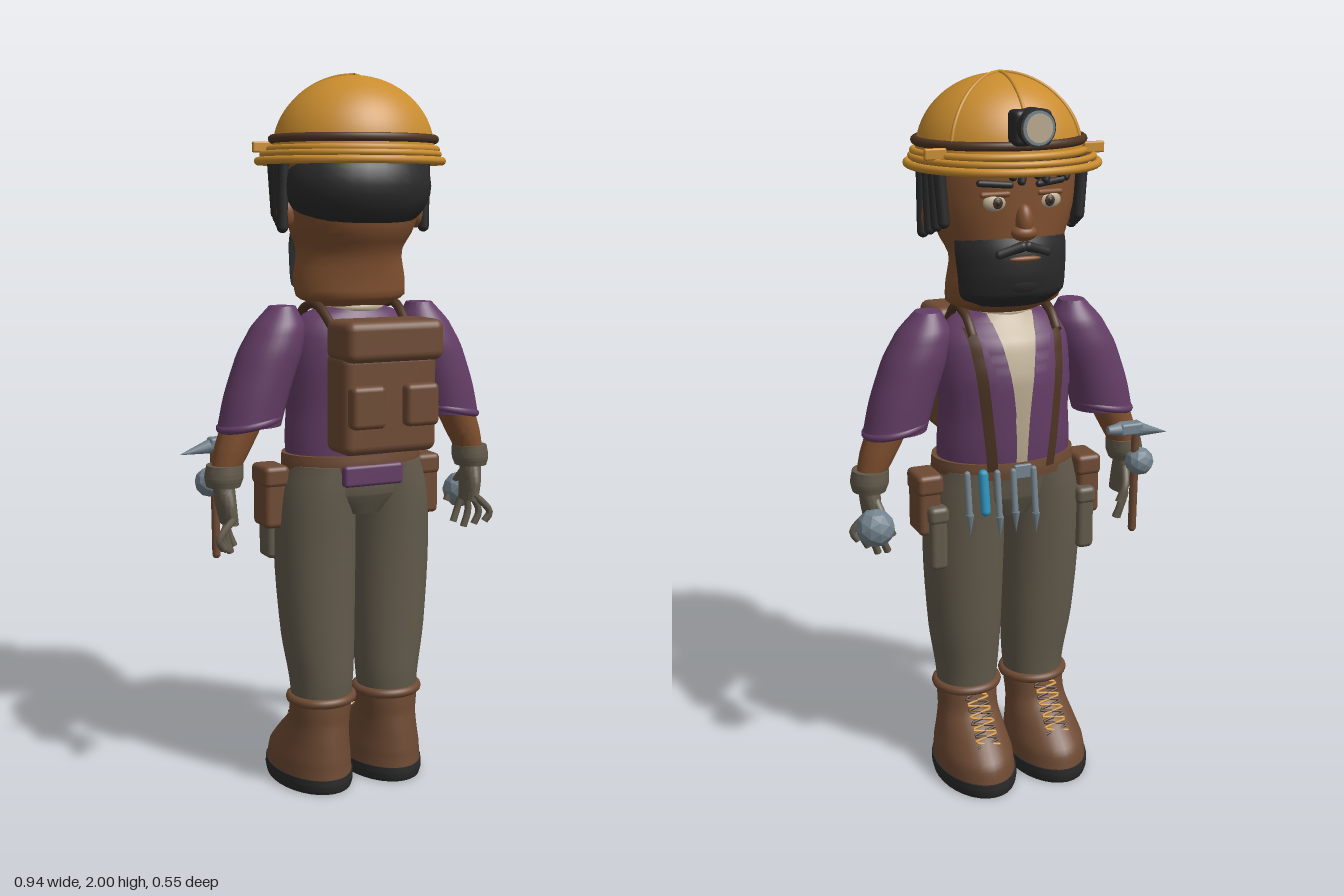
import * as THREE from 'three';
import { toCreasedNormals } from 'three/addons/utils/BufferGeometryUtils.js';
import { RoundedBoxGeometry } from 'three/addons/geometries/RoundedBoxGeometry.js';

const V = (x, y, z) => new THREE.Vector3(x, y, z);
const mat = (name, color) => {
  const m = new THREE.MeshStandardMaterial({ color, side: THREE.DoubleSide });
  m.name = name;
  return m;
};

// Smooth rows [x, y, z, rx, rz] through the given sections, listed upwards
function rowsOf(sections, steps) {
  const centre = new THREE.CatmullRomCurve3(sections.map(s => V(s[0], s[1], s[2])));
  const radius = new THREE.CatmullRomCurve3(sections.map(s => V(s[3], s[4], 0)));
  return Array.from({ length: steps + 1 }, (_, i) => {
    const c = centre.getPoint(i / steps), r = radius.getPoint(i / steps);
    return [c.x, c.y, c.z, r.x, r.y];
  });
}

// Stack of horizontal ellipses; a partial angle range gives an open shell
function loft(sections, a0 = 0, a1 = Math.PI * 2, steps = 20, n = 32) {
  const rows = rowsOf(sections, steps), pos = [], idx = [];
  rows.forEach(([x, y, z, rx, rz]) => {
    for (let j = 0; j <= n; j++) {
      const a = a0 + (a1 - a0) * j / n;
      pos.push(x + rx * Math.cos(a), y, z + rz * Math.sin(a));
    }
  });
  const w = n + 1;
  for (let i = 0; i < steps; i++) for (let j = 0; j < n; j++) {
    const p = i * w + j;
    idx.push(p, p + w, p + 1, p + 1, p + w, p + w + 1);
  }
  if (a1 - a0 > 6.28) {
    const c = pos.length / 3, top = steps * w;
    pos.push(...rows[0].slice(0, 3), ...rows[steps].slice(0, 3));
    for (let j = 0; j < n; j++) idx.push(c, j, j + 1, c + 1, top + j + 1, top + j);
  }
  const g = new THREE.BufferGeometry();
  g.setAttribute('position', new THREE.Float32BufferAttribute(pos, 3));
  g.setIndex(idx);
  return toCreasedNormals(g, 0.8);
}

export function createModel() {
  const M = {
    skin: mat('skin', 0x80502f), gold: mat('helmetGold', 0xc98c2e), black: mat('black', 0x2a2a2a),
    purple: mat('shirtPurple', 0x643d66), brown: mat('leather', 0x6e4a33), olive: mat('canvas', 0x625a4b),
    cream: mat('cream', 0xb9aa90), steel: mat('steel', 0x74838e), blue: mat('toolBlue', 0x2b93bd),
    dark: mat('darkStrap', 0x4d3423),
  };
  const root = new THREE.Group(), body = new THREE.Group();
  root.name = 'explorer';
  body.name = 'figure';
  body.position.x = 0.02;
  root.add(body);

  const add = (name, geo, m, x = 0, y = 0, z = 0) => {
    const o = new THREE.Mesh(geo, M[m]);
    o.name = name;
    o.position.set(x, y, z);
    body.add(o);
    return o;
  };
  const rbox = (name, m, w, h, d, x, y, z, r = 0.015) => add(name, new RoundedBoxGeometry(w, h, d, 3, r), m, x, y, z);
  const ball = (name, m, rx, ry, rz, x, y, z) => {
    const o = add(name, new THREE.SphereGeometry(1, 28, 18), m, x, y, z);
    o.scale.set(rx, ry, rz);
    return o;
  };
  const tube = (name, m, r, pts, seg = 24) => add(name, new THREE.TubeGeometry(new THREE.CatmullRomCurve3(pts), seg, r, 8), m);
  const rod = (name, m, r, a, b) => {
    const o = add(name, new THREE.CapsuleGeometry(r, a.distanceTo(b), 4, 10), m);
    o.position.copy(a).add(b).multiplyScalar(0.5);
    o.quaternion.setFromUnitVectors(V(0, 1, 0), b.clone().sub(a).normalize());
    return o;
  };
  const hoop = (name, m, rx, rz, t, x, y, z) => {
    const o = add(name, new THREE.TorusGeometry(1, t / rx, 10, 56), m, x, y, z);
    o.rotation.x = Math.PI / 2;
    o.scale.set(rx, rz, rx);
    return o;
  };

  // Shirt body
  const torso = [[0, 0.93, -0.01, 0.19, 0.132], [0, 1.0, -0.015, 0.193, 0.135], [0, 1.1, -0.018, 0.187, 0.136],
    [0, 1.2, -0.018, 0.19, 0.135], [0, 1.3, -0.01, 0.185, 0.115], [0, 1.35, 0, 0.15, 0.085], [0, 1.375, 0, 0.085, 0.07]];
  add('shirt', loft(torso), 'purple');
  rbox('shirtTail', 'purple', 0.18, 0.06, 0.03, 0, 0.915, 0.128, 0.01);

  // Thin cloth panels that follow the chest
  const torsoRows = rowsOf(torso, 80);
  const chestZ = (x, y) => {
    const r = torsoRows.reduce((a, b) => Math.abs(b[1] - y) < Math.abs(a[1] - y) ? b : a);
    return r[2] - r[4] * Math.sqrt(Math.max(0, 1 - (x / r[3]) ** 2));
  };
  const panel = (name, m, y0, y1, edges, lift) => {
    const g = new THREE.PlaneGeometry(1, 1, 6, 24), p = g.attributes.position;
    for (let i = 0; i < p.count; i++) {
      const t = p.getY(i) + 0.5, [x0, x1] = edges(t);
      const x = x1 + (x0 - x1) * (p.getX(i) + 0.5), y = y0 + (y1 - y0) * t;
      p.setXYZ(i, x, y, chestZ(x, y) - lift);
    }
    g.computeVertexNormals();
    add(name, g, m);
  };
  const open = t => 0.016 + 0.05 * t ** 2;
  panel('undershirt', 'cream', 0.97, 1.37, t => [-open(t), open(t)], 0.005);
  hoop('undershirtCollar', 'cream', 0.078, 0.07, 0.012, 0, 1.37, 0);

  // Head and neck
  add('neck', loft([[0, 1.3, 0.005, 0.075, 0.07], [0, 1.36, 0.005, 0.07, 0.067], [0, 1.44, 0, 0.08, 0.075]]), 'skin');
  add('head', loft([[0, 1.375, -0.005, 0.1, 0.08], [0, 1.4, -0.01, 0.16, 0.108], [0, 1.45, -0.02, 0.163, 0.122],
    [0, 1.52, -0.02, 0.15, 0.135], [0, 1.58, -0.005, 0.175, 0.155], [0, 1.66, 0, 0.2, 0.163],
    [0, 1.74, 0, 0.205, 0.165], [0, 1.82, 0, 0.19, 0.16]]), 'skin');
  ball('backHair', 'black', 0.212, 0.145, 0.175, 0, 1.7, 0.028);
  add('beard', loft([[0, 1.4, -0.04, 0.12, 0.09], [0, 1.43, -0.035, 0.16, 0.125], [0, 1.49, -0.025, 0.167, 0.15],
    [0, 1.55, -0.015, 0.171, 0.157], [0, 1.6, -0.003, 0.168, 0.152]], -Math.PI / 2 - 1.2, -Math.PI / 2 + 1.2), 'black');
  ball('chinBeard', 'black', 0.085, 0.052, 0.05, 0, 1.47, -0.122);
  ball('lips', 'skin', 0.045, 0.009, 0.012, 0, 1.533, -0.168);
  ball('nose', 'skin', 0.024, 0.045, 0.026, 0, 1.63, -0.16);
  ball('noseTip', 'skin', 0.036, 0.022, 0.028, 0, 1.6, -0.16);
  for (const s of [-1, 1]) {
    rod('moustache', 'black', 0.014, V(s * 0.008, 1.565, -0.168), V(s * 0.065, 1.545, -0.153));
    ball('eye', 'cream', 0.034, 0.023, 0.015, s * 0.075, 1.68, -0.147);
    ball('iris', 'dark', 0.014, 0.015, 0.007, s * 0.073, 1.68, -0.159);
    ball('pupil', 'black', 0.007, 0.008, 0.004, s * 0.073, 1.68, -0.164);
    rod('eyelid', 'skin', 0.008, V(s * 0.045, 1.702, -0.158), V(s * 0.108, 1.7, -0.143));
    rod('eyebrow', 'black', 0.009, V(s * 0.04, 1.725, -0.163), V(s * 0.115, 1.73, -0.14));
    ball('ear', 'skin', 0.025, 0.045, 0.03, s * 0.2, 1.63, 0);
    for (let i = 0; i < 4; i++)
      rod('sideLock', 'black', 0.016, V(s * (0.215 - i * 0.004), 1.77, 0.02 - i * 0.033), V(s * (0.216 - i * 0.008), 1.59 + i * 0.012, 0.015 - i * 0.032));
  }
  for (let i = 0; i < 8; i++) {
    const x = -0.15 + i * 0.024;
    rod('fringeLock', 'black', 0.011, V(x, 1.8, -0.168 + x * x * 2), V(x + 0.02, 1.735 + (i % 3) * 0.012, -0.177 + x * x * 2));
  }

  // Hard hat: shell, band, open brim rings, ribs and lamp
  const shell = add('helmetShell', new THREE.SphereGeometry(1, 48, 20, 0, Math.PI * 2, 0, Math.PI / 2), 'gold', 0, 1.795, 0.01);
  shell.scale.set(0.226, 0.201, 0.202);
  hoop('helmetBand', 'dark', 0.226, 0.204, 0.012, 0, 1.825, 0.01);
  hoop('helmetRim', 'gold', 0.232, 0.21, 0.01, 0, 1.798, 0.008);
  hoop('upperBrimRing', 'gold', 0.242, 0.24, 0.009, 0, 1.785, -0.01);
  hoop('brimRing', 'gold', 0.254, 0.25, 0.011, 0, 1.767, -0.013);
  for (const a of [-0.93, 0, 0.93]) {
    const pts = Array.from({ length: 9 }, (_, i) => {
      const e = i / 8 * 1.4;
      return V(0.227 * Math.sin(e) * Math.sin(a), 1.795 + 0.202 * Math.cos(e), 0.01 - 0.203 * Math.sin(e) * Math.cos(a));
    });
    tube('helmetRib', 'gold', 0.005, pts);
  }
  for (const s of [-1, 1]) rbox('helmetClip', 'gold', 0.06, 0.03, 0.014, s * 0.222, 1.805, -0.105, 0.005);
  rbox('lampHousing', 'black', 0.105, 0.09, 0.06, 0, 1.872, -0.195, 0.015);
  const lampPart = (name, m, r, d, z) => { add(name, new THREE.CylinderGeometry(r, r, d, 28), m, 0, 1.875, z).rotation.x = Math.PI / 2; };
  lampPart('lampBarrel', 'black', 0.048, 0.05, -0.225);
  lampPart('lampRing', 'steel', 0.043, 0.012, -0.25);
  lampPart('lampLens', 'cream', 0.036, 0.006, -0.256);

  // Backpack
  rbox('backpackBody', 'brown', 0.28, 0.27, 0.13, 0, 1.125, 0.18, 0.025);
  rbox('backpackFlap', 'brown', 0.29, 0.11, 0.15, 0, 1.295, 0.202, 0.025);

  // Belt and trousers seat
  add('belt', loft([[0, 0.922, -0.008, 0.205, 0.145], [0, 0.945, -0.008, 0.207, 0.147], [0, 0.968, -0.008, 0.205, 0.145]], 0, Math.PI * 2, 6), 'brown');
  rbox('beltBuckle', 'steel', 0.05, 0.04, 0.012, 0, 0.945, -0.156, 0.004);
  add('trouserSeat', loft([[0, 0.8, 0, 0.1, 0.1], [0, 0.86, 0, 0.19, 0.126], [0, 0.95, -0.005, 0.197, 0.135]]), 'olive');

  for (const s of [-1, 1]) {
    // Chest details
    panel('lapel', 'purple', 1.1, 1.35, t => [s * open(0.33 + t * 0.62), s * (0.035 + 0.075 * t)], 0.012);
    panel('chestPocket', 'purple', 1.1, 1.19, () => [s * 0.085, s * 0.155], 0.008);
    panel('pocketFlap', 'purple', 1.165, 1.2, () => [s * 0.08, s * 0.16], 0.016);
    panel('harnessStrap', 'dark', 0.95, 1.34, t => [s * (0.07 + 0.04 * t), s * (0.098 + 0.04 * t)], 0.018);
    tube('shoulderStrap', 'dark', 0.013, [V(s * 0.122, 1.32, -0.105), V(s * 0.122, 1.368, -0.05), V(s * 0.12, 1.378, 0.03), V(s * 0.11, 1.3, 0.14)]);
    rbox('backpackPocket', 'brown', 0.1, 0.115, 0.05, s * 0.08, 1.122, 0.25, 0.015);

    // Sleeve, forearm and glove
    add('sleeve', loft([[s * 0.312, 1.055, 0, 0.088, 0.08], [s * 0.29, 1.14, 0, 0.09, 0.084], [s * 0.255, 1.24, 0, 0.09, 0.086],
      [s * 0.226, 1.32, 0, 0.075, 0.075], [s * 0.212, 1.378, 0, 0.036, 0.04]]), 'purple');
    hoop('sleeveCuff', 'purple', 0.084, 0.076, 0.011, s * 0.311, 1.065, 0).rotation.y = s * -0.2;
    add('forearm', loft([[s * 0.39, 0.92, 0, 0.037, 0.037], [s * 0.36, 1.0, 0, 0.052, 0.048], [s * 0.32, 1.09, 0, 0.06, 0.055]]), 'skin');
    add('gloveCuff', loft([[s * 0.39, 0.893, 0, 0.046, 0.05], [s * 0.388, 0.92, 0, 0.053, 0.056], [s * 0.385, 0.952, 0, 0.05, 0.054]]), 'olive');
    add('palm', loft([[s * 0.378, 0.79, 0.01, 0.022, 0.044], [s * 0.385, 0.84, 0.005, 0.026, 0.047], [s * 0.39, 0.9, 0, 0.03, 0.034]]), 'olive');
    for (let i = 0; i < 4; i++) {
      const z = -0.026 + i * 0.024, x = 0.35 + i * 0.02;
      tube('finger', 'olive', 0.0105, [V(s * 0.378, 0.81, z), V(s * (x + 0.015), 0.755, z * 1.2), V(s * x, 0.705 + Math.abs(i - 1) * 0.012, z * 1.1)], 10);
    }
    tube('thumb', 'olive', 0.012, [V(s * 0.38, 0.87, -0.025), V(s * 0.365, 0.82, -0.058), V(s * 0.345, 0.775, -0.06)], 10);

    // Hip pouches
    rbox('hipPouch', 'brown', 0.065, 0.165, 0.1, s * 0.24, 0.845, -0.03);
    rbox('hipPouchFlap', 'brown', 0.075, 0.06, 0.11, s * 0.238, 0.908, -0.03);
    rbox('smallPouch', 'olive', 0.05, 0.18, 0.075, s * 0.222, 0.755, -0.065);
    rbox('smallPouchFlap', 'olive', 0.058, 0.05, 0.083, s * 0.222, 0.825, -0.065);

    // Leg and boot
    add('trouserLeg', loft([[s * 0.105, 0.24, 0.015, 0.084, 0.083], [s * 0.105, 0.32, 0.015, 0.092, 0.09], [s * 0.112, 0.45, 0.008, 0.106, 0.1],
      [s * 0.117, 0.7, 0, 0.116, 0.115], [s * 0.112, 0.85, -0.002, 0.111, 0.124], [s * 0.1, 0.94, -0.004, 0.1, 0.126]]), 'olive');
    const boot = [[0.112, 0.035, -0.057, 0.11, 0.176], [0.112, 0.085, -0.052, 0.106, 0.168], [0.11, 0.14, -0.028, 0.094, 0.138],
      [0.107, 0.2, 0.004, 0.086, 0.098], [0.105, 0.262, 0.015, 0.09, 0.087]].map(r => [s * r[0], ...r.slice(1)]);
    add('boot', loft(boot), 'brown');
    hoop('bootCollar', 'brown', 0.088, 0.085, 0.014, s * 0.105, 0.262, 0.015);
    add('bootSole', loft([[s * 0.112, 0, -0.058, 0.11, 0.174], [s * 0.112, 0.02, -0.058, 0.114, 0.18], [s * 0.112, 0.042, -0.058, 0.113, 0.179]], 0, Math.PI * 2, 6), 'black');
    const lace = Array.from({ length: 10 }, (_, i) => V(s * 0.108 + (i % 2 ? 0.035 : -0.035), 0.13 + i * 0.014, -0.168 + i * 0.0115));
    tube('bootLace', 'gold', 0.004, lace, 70);
    tube('bootLaceBack', 'dark', 0.004, lace.map(p => V(s * 0.216 - p.x, p.y, p.z)), 70);
  }

  // Tools hung on the belt
  [-0.03, 0.03, 0.075, 0.155].forEach((x, i) => {
    rod('beltTool', 'steel', 0.009, V(x, 0.95, -0.162 + x * x), V(x, 0.83, -0.18 + x * x));
    add('toolTip', new THREE.ConeGeometry(0.011, 0.06, 10).rotateX(Math.PI), 'steel', x, 0.8 + (i % 2) * 0.01, -0.183 + x * x);
  });
  rod('bluePenTool', 'blue', 0.014, V(0.115, 0.95, -0.155), V(0.115, 0.85, -0.172));

  // Hammer and round stones in the hands
  rod('hammerHandle', 'brown', 0.012, V(-0.39, 0.69, -0.06), V(-0.39, 0.99, -0.068));
  rbox('hammerHead', 'steel', 0.07, 0.036, 0.04, -0.37, 1.0, -0.07, 0.008);
  const pick = add('hammerPick', new THREE.ConeGeometry(0.022, 0.1, 10), 'steel', -0.442, 0.985, -0.07);
  pick.rotation.z = Math.PI / 2 + 0.2;
  const face = add('hammerFace', new THREE.CylinderGeometry(0.012, 0.02, 0.04, 10), 'steel', -0.32, 1.0, -0.07);
  face.rotation.z = -Math.PI / 2;
  for (const [x, y, r] of [[0.395, 0.805, 0.054], [-0.405, 0.895, 0.042]]) {
    const g = new THREE.IcosahedronGeometry(r, 1);
    g.computeVertexNormals();
    add('stone', g, 'steel', x, y, -0.065);
  }
  return root;
}
